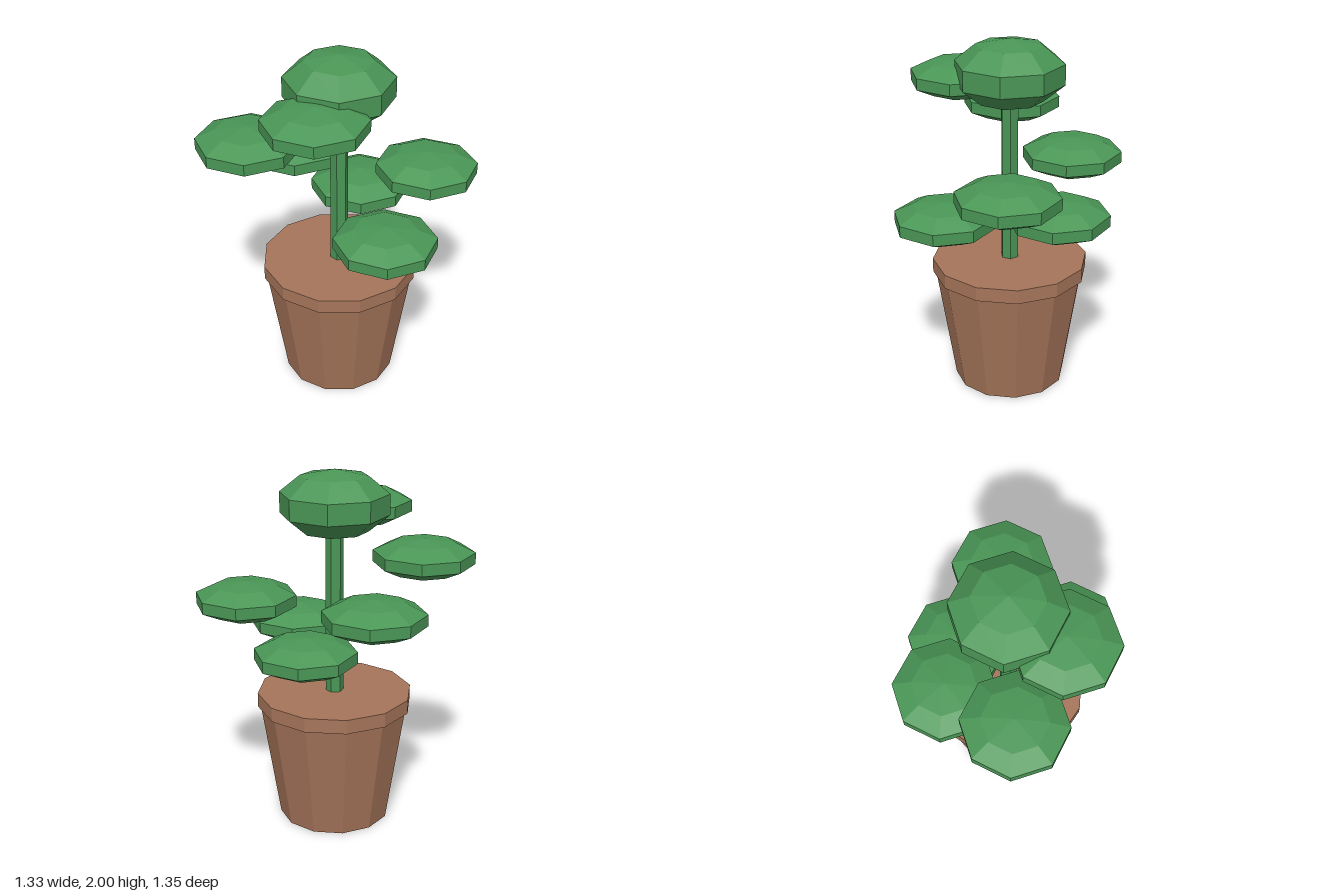
import * as THREE from 'three';

export function createModel() {
  const model = new THREE.Group();
  model.name = 'pottedTree';

  const green = new THREE.MeshStandardMaterial({ color: 0x4a9656, flatShading: true });
  const brown = new THREE.MeshStandardMaterial({ color: 0xa6755a, flatShading: true });

  const add = (name, geometry, material, x, y, z) => {
    const mesh = new THREE.Mesh(geometry, material);
    mesh.name = name;
    mesh.position.set(x, y, z);
    model.add(mesh);
    return mesh;
  };

  // Tapered twelve-sided pot with a straight rim closed by a flat top
  add('pot', new THREE.CylinderGeometry(0.42, 0.315, 0.68, 12), brown, 0, 0.34, 0);
  add('potRim', new THREE.CylinderGeometry(0.435, 0.435, 0.08, 12), brown, 0, 0.71, 0);

  // Slim hexagonal trunk, reaching up into the crown
  add('trunk', new THREE.CylinderGeometry(0.05, 0.05, 1.0, 6), green, 0, 1.25, 0);

  // Flattened low-poly leaf clumps around the trunk
  const clump = new THREE.SphereGeometry(1, 8, 5);
  const leaf = (name, x, y, z, radius, halfHeight) =>
    add(name, clump, green, x, y, z).scale.set(radius, halfHeight, radius);

  [
    [-0.05, 1.055, 0.395],
    [0.29, 1.055, -0.12],
    [0.387, 1.288, 0.29],
    [0.05, 1.288, -0.395],
    [-0.387, 1.52, -0.29],
    [-0.29, 1.75, 0.12],
  ].forEach(([x, y, z], i) => leaf(`leafClump${i + 1}`, x, y, z, 0.293, 0.103));

  // Rounder crown on top
  leaf('crown', 0, 1.817, 0, 0.312, 0.183);

  return model;
}
